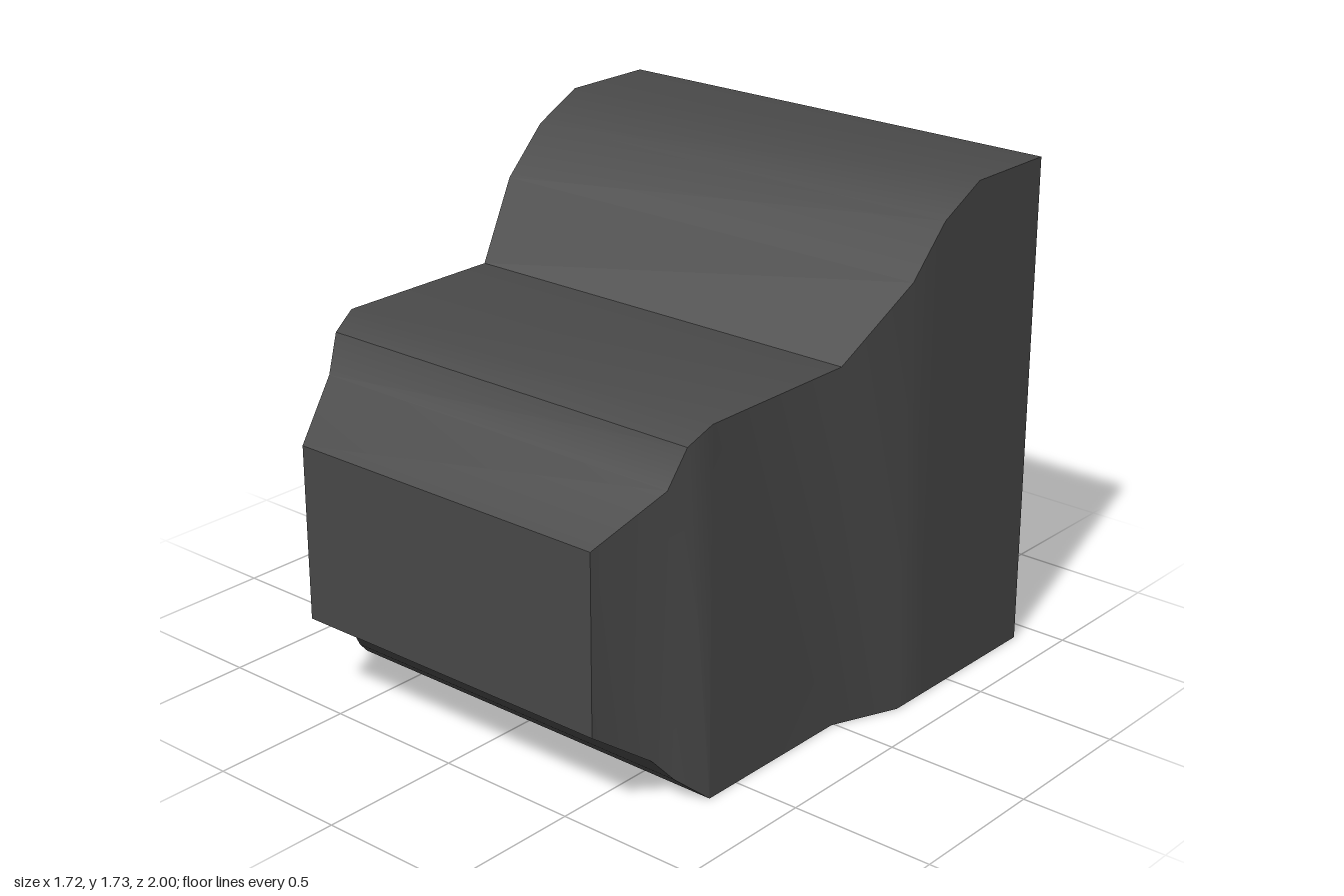
import * as THREE from 'three';
import { toCreasedNormals } from 'three/addons/utils/BufferGeometryUtils.js';
import { ParametricGeometry } from 'three/addons/geometries/ParametricGeometry.js';

const paint = (color) => new THREE.MeshStandardMaterial({ color });

// Housing cross-sections along z: [z, top y, bottom y, half width at top, half width at bottom]
const SECTIONS = [
  [-0.91, 1.73, 0, 0.86, 0.86],
  [-0.56, 1.73, 0, 0.86, 0.86],
  [-0.38, 1.64, 0, 0.86, 0.86],
  [-0.22, 1.48, 0, 0.86, 0.86],
  [0.01, 1.245, 0, 0.765, 0.765],
  [0.63, 1.245, 0, 0.765, 0.765],
  [0.72, 1.195, 0.08, 0.745, 0.70],
  [0.78, 1.07, 0.155, 0.72, 0.66],
  [1.0, 0.92, 0.31, 0.615, 0.615],
];

function housingGeometry() {
  const positions = [];
  const index = [];
  for (const [z, top, bottom, wt, wb] of SECTIONS) {
    positions.push(-wb, bottom, z, wb, bottom, z, wt, top, z, -wt, top, z);
  }
  const quad = (a, b, c, d) => index.push(a, b, c, a, c, d);
  for (let i = 0; i < SECTIONS.length - 1; i++) {
    for (let j = 0; j < 4; j++) {
      const k = (j + 1) % 4;
      quad(i * 4 + j, i * 4 + k, i * 4 + 4 + k, i * 4 + 4 + j);
    }
  }
  const last = (SECTIONS.length - 1) * 4;
  quad(3, 2, 1, 0);
  quad(last, last + 1, last + 2, last + 3);
  const geometry = new THREE.BufferGeometry();
  geometry.setAttribute('position', new THREE.Float32BufferAttribute(positions, 3));
  geometry.setIndex(index);
  return toCreasedNormals(geometry, 0.55);
}

// Barrel-shaped outline, bulging towards -z, with a steep rim
function screenGeometry() {
  const geometry = new ParametricGeometry((s, t, target) => {
    const u = 1 - 2 * s;
    const v = 2 * t - 1;
    const x = u * (0.71 - 0.15 * v * v);
    const y = v * (0.52 - 0.03 * u * u);
    const rim = Math.max(Math.abs(u), Math.abs(v)) > 0.99;
    const z = rim ? -0.915 : -1 + 0.065 * (x / 0.71) ** 2 + 0.03 * (y / 0.52) ** 2;
    target.set(x, 1.04 + y, z);
  }, 32, 32);
  geometry.computeVertexNormals();
  return geometry;
}

export function createModel() {
  const model = new THREE.Group();
  const add = (name, geometry, material, x = 0, y = 0, z = 0) => {
    const mesh = new THREE.Mesh(geometry, material);
    mesh.name = name;
    mesh.position.set(x, y, z);
    model.add(mesh);
    return mesh;
  };

  add('housing', housingGeometry(), paint(0x484848));
  add('facePanel', new THREE.BoxGeometry(1.5, 1.46, 0.02), paint(0x646464), 0, 0.89, -0.91);

  const grey = paint(0xcccccc);
  add('screen', screenGeometry(), grey);

  // Power button and the two pairs of knobs below the screen
  add('powerButton', new THREE.BoxGeometry(0.1, 0.09, 0.045), paint(0xc81050), 0.52, 0.245, -0.935);
  for (const [x, radius] of [[0.36, 0.042], [0.22, 0.042], [-0.44, 0.028], [-0.55, 0.028]]) {
    const knob = new THREE.CylinderGeometry(radius, radius, 0.05, 12);
    add('knob', knob, grey, x, 0.235, -0.935).rotation.x = Math.PI / 2;
  }
  return model;
}
